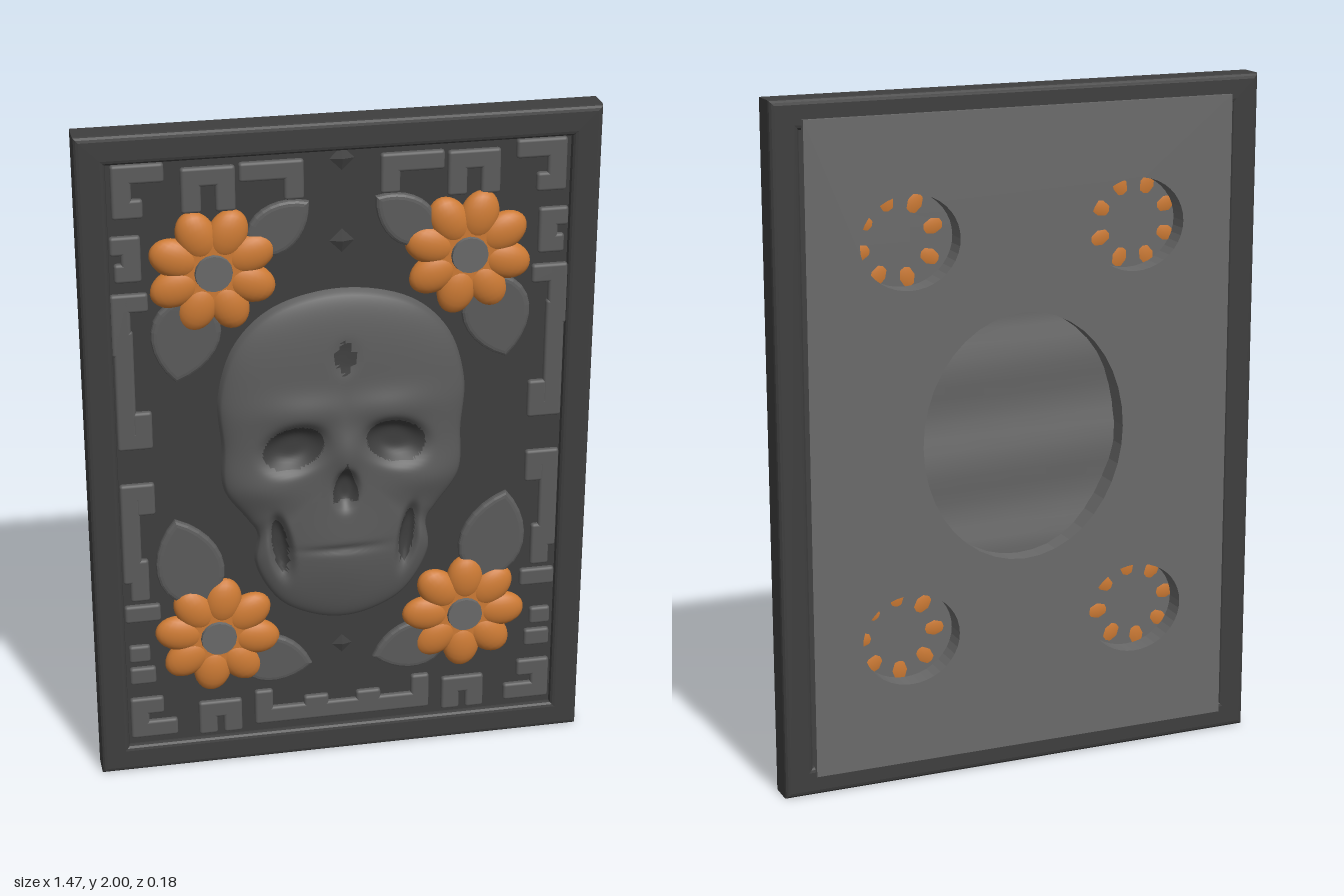
import * as THREE from 'three';
import { RoundedBoxGeometry } from 'three/addons/geometries/RoundedBoxGeometry.js';

const mat = (name, color, side = THREE.FrontSide) => {
  const m = new THREE.MeshStandardMaterial({ color, side });
  m.name = name;
  return m;
};
const charcoal = mat('charcoal', 0x3e3e3e);
const stone = mat('stone grey', 0x5b5b5b);
const orange = mat('orange', 0xcc7a34);
const centreGrey = mat('flower centre grey', 0x696969);
const backGrey = mat('back grey', 0x6a6a6a, THREE.DoubleSide);

function add(parent, name, geometry, material, x = 0, y = 0, z = 0) {
  const m = new THREE.Mesh(geometry, material);
  m.name = name;
  m.position.set(x, y, z);
  parent.add(m);
  return m;
}

function rect(target, x, y0, y1) {
  target.moveTo(-x, y0);
  target.lineTo(x, y0);
  target.lineTo(x, y1);
  target.lineTo(-x, y1);
  target.closePath();
  return target;
}

const FLOWERS = [[-0.365, 1.59], [0.36, 1.59], [-0.375, 0.435], [0.37, 0.435]];

// Flower: eight overlapping domed petals around a flat button
function flower(parent, x, y, i) {
  const g = new THREE.Group();
  g.name = 'flower' + (i + 1);
  g.position.set(x, y, 0);
  const petal = new THREE.SphereGeometry(1, 20, 14);
  for (let k = 0; k < 8; k++) {
    const a = (k + 0.5) * Math.PI / 4 + i * 0.12;
    const p = add(g, 'petal', petal, orange, Math.cos(a) * 0.112, Math.sin(a) * 0.112, 0.004);
    p.scale.set(0.075, 0.056, 0.034);
    p.rotation.z = a;
  }
  const disc = add(g, 'petalBase', new THREE.CylinderGeometry(0.09, 0.1, 0.03, 24), orange, 0, 0, 0.012);
  disc.rotation.x = Math.PI / 2;
  const button = add(g, 'flowerCentre', new THREE.CylinderGeometry(0.052, 0.058, 0.036, 16), centreGrey, 0, 0, 0.019);
  button.rotation.x = Math.PI / 2;
  parent.add(g);
}

// Leaf: pointed outline with a soft bevel, running from base to tip
function leaf(parent, x0, y0, x1, y1, width) {
  const dx = x1 - x0, dy = y1 - y0, L = Math.hypot(dx, dy), w = width / 2;
  const s = new THREE.Shape();
  s.moveTo(0, 0);
  s.bezierCurveTo(L * 0.2, w * 1.5, L * 0.75, w * 1.1, L, 0);
  s.bezierCurveTo(L * 0.75, -w * 1.1, L * 0.2, -w * 1.5, 0, 0);
  const geo = new THREE.ExtrudeGeometry(s, {
    depth: 0.008, bevelThickness: 0.01, bevelSize: 0.016, bevelOffset: -0.01, bevelSegments: 3, curveSegments: 10,
  });
  add(parent, 'leaf', geo, stone, x0, y0, 0).rotation.z = Math.atan2(dy, dx);
}

// Skull relief: rings shrinking from an outline, heights set by a rule
function skullGeometry() {
  const half = [[0.2, 1.465], [0.31, 1.36], [0.36, 1.2], [0.352, 1.05], [0.348, 0.91], [0.28, 0.805],
    [0.253, 0.76], [0.26, 0.66], [0.19, 0.53], [0.1, 0.475]];
  const loop = [[0, 1.51], ...half, [0, 0.455], ...half.map(([x, y]) => [-x, y]).reverse()];
  const outline = new THREE.CatmullRomCurve3(loop.map(([x, y]) => new THREE.Vector3(x, y, 0)), true)
    .getPoints(180).slice(0, 180);
  const RINGS = 60, SEG = 180, CY = 0.98;
  const ell = (x, y, cx, cy, rx, ry) => ((x - cx) / rx) ** 2 + ((y - cy) / ry) ** 2;
  const bump = (...a) => Math.exp(-ell(...a));
  const pit = (...a) => Math.exp(-(ell(...a) ** 2));
  const eye = (x, y) => ell(Math.abs(x), y + Math.abs(x) * 0.15, 0.15, 1.065, 0.088, 0.066);
  const inNose = (x, y) => y > 0.865 && y < 1.0 && Math.abs(x) < 0.037 * (1.0 - y) / 0.1 && Math.abs(x) < 0.037;
  const gapX = (y) => 0.18 + (y - 0.65) * 0.12;
  const inGap = (x, y) => ell(Math.abs(x), y, gapX(y), 0.725, 0.022, 0.085) < 1;
  const inDiamond = (x, y) => Math.abs(x) / 0.037 + Math.abs(y - 1.315) / 0.057 < 1;
  const height = (x, y, t) => {
    const ax = Math.abs(x);
    let h = 0.066;
    h += 0.016 * bump(ax, y, 0.12, 1.16, 0.14, 0.05);   // brow
    h += 0.014 * bump(ax, y, 0.24, 0.92, 0.09, 0.06);   // cheekbone
    h += 0.022 * bump(x, y, 0, 1.03, 0.05, 0.08);       // nose bridge
    h += 0.014 * bump(x, y, 0, 0.68, 0.13, 0.14);       // jaw
    h -= 0.01 * bump(x, y, 0, 0.715, 0.12, 0.012);      // mouth line
    h -= 0.045 * Math.exp(-(eye(x, y) ** 2));
    h -= 0.03 * pit(x, y, 0, 0.905, 0.035, 0.06);
    h -= 0.05 * pit(ax, y, gapX(y), 0.725, 0.028, 0.095);
    h -= 0.006 * pit(x, y, 0, 1.315, 0.035, 0.05);
    return Math.max(0.004, h) * Math.sqrt(1 - t ** 3.2) - (t === 1 ? 0.004 : 0);
  };
  const pos = [], light = [], dark = [];
  for (let r = 0; r <= RINGS; r++) {
    const t = r / RINGS;
    for (const p of outline) {
      const x = p.x * t, y = CY + (p.y - CY) * t;
      pos.push(x, y, height(x, y, t));
    }
  }
  const face = (a, b, c) => {
    const x = (pos[a * 3] + pos[b * 3] + pos[c * 3]) / 3;
    const y = (pos[a * 3 + 1] + pos[b * 3 + 1] + pos[c * 3 + 1]) / 3;
    const hollow = eye(x, y) < 1 || inNose(x, y) || inGap(x, y) || inDiamond(x, y);
    (hollow ? dark : light).push(a, b, c);
  };
  // the outline runs clockwise seen from the front
  for (let r = 0; r < RINGS; r++) for (let s = 0; s < SEG; s++) {
    const n = (s + 1) % SEG, a = r * SEG + s, b = r * SEG + n, c = a + SEG, d = b + SEG;
    if (r > 0) face(a, b, d);
    face(a, d, c);
  }
  const g = new THREE.BufferGeometry();
  g.setAttribute('position', new THREE.Float32BufferAttribute(pos, 3));
  g.setIndex([...light, ...dark]);
  g.addGroup(0, light.length, 0);
  g.addGroup(light.length, dark.length, 1);
  g.computeVertexNormals();
  return g;
}

export function createModel() {
  const model = new THREE.Group();
  model.name = 'skullPlaque';

  // Frame with softened edges, and the front field
  const frame = rect(new THREE.Shape(), 0.72, 0.015, 1.985);
  frame.holes.push(rect(new THREE.Path(), 0.665, 0.07, 1.93));
  add(model, 'frame', new THREE.ExtrudeGeometry(frame, {
    depth: 0.07, bevelThickness: 0.014, bevelSize: 0.015, bevelSegments: 3,
  }), charcoal, 0, 0, -0.064);
  add(model, 'frontField', new THREE.BoxGeometry(1.36, 1.9, 0.014), charcoal, 0, 1, -0.007);

  // Back plate with an oval opening and four round ones
  const back = rect(new THREE.Shape(), 0.645, 0.06, 1.945);
  const opening = (x, y, rx, ry) => {
    const p = new THREE.Path();
    p.absellipse(x, y, rx, ry, 0, Math.PI * 2, true);
    back.holes.push(p);
  };
  opening(0, 1.0, 0.31, 0.365);
  FLOWERS.forEach(([x, y]) => opening(x * 0.95, y, 0.148, 0.135));
  add(model, 'backPlate', new THREE.ExtrudeGeometry(back, { depth: 0.068, bevelEnabled: false, curveSegments: 20 }),
    backGrey, 0, 0, -0.09);

  // Recess lining, rippled behind the oval
  const lining = new THREE.PlaneGeometry(1.28, 1.86, 8, 48);
  const lp = lining.attributes.position;
  for (let i = 0; i < lp.count; i++) {
    const y = lp.getY(i);
    lp.setZ(i, Math.abs(y) < 0.37 ? 0.008 * Math.sin(y * 22 + lp.getX(i)) : 0);
  }
  lining.computeVertexNormals();
  add(model, 'recessLining', lining, backGrey, 0, 1, -0.027);

  // Fretwork: rounded bars along paths, mirrored on both sides
  const W = 0.056;
  const bars = [
    [[-0.61, 1.79], [-0.61, 1.885], [-0.52, 1.885]], [[-0.61, 1.785], [-0.58, 1.785]],
    [[-0.42, 1.79], [-0.42, 1.865], [-0.325, 1.865], [-0.325, 1.79]],
    [[-0.26, 1.87], [-0.135, 1.87], [-0.135, 1.81]],
    [[-0.62, 1.68], [-0.59, 1.68], [-0.59, 1.6], [-0.61, 1.6]],
    [[-0.575, 1.51], [-0.625, 1.51], [-0.625, 1.38]],
    [[-0.62, 1.4], [-0.62, 1.09], [-0.575, 1.09], [-0.575, 1.15]],
    [[-0.575, 0.88], [-0.575, 0.925], [-0.62, 0.925], [-0.62, 0.66]],
    [[-0.6, 0.68], [-0.6, 0.6]], [[-0.62, 0.53], [-0.57, 0.53]],
    [[-0.612, 0.395], [-0.605, 0.395]], [[-0.612, 0.32], [-0.59, 0.32]],
    [[-0.57, 0.215], [-0.615, 0.215], [-0.615, 0.135], [-0.53, 0.135]],
    [[-0.41, 0.125], [-0.41, 0.18], [-0.335, 0.18], [-0.335, 0.125]],
    [[-0.24, 0.2], [-0.24, 0.14], [0, 0.14]], [[-0.09, 0.15], [-0.07, 0.165]],
  ];
  const fret = new THREE.Group();
  fret.name = 'fretwork';
  model.add(fret);
  for (const side of [1, -1]) for (const path of bars) for (let i = 1; i < path.length; i++) {
    const [x0, y0] = path[i - 1], [x1, y1] = path[i];
    const w = Math.abs(x1 - x0) + W, h = Math.abs(y1 - y0) + W;
    add(fret, 'fretBar', new RoundedBoxGeometry(w, h, 0.026, 2, 0.009), stone,
      side * (x0 + x1) / 2, (y0 + y1) / 2, 0.001);
  }

  // Leaves and flowers
  for (const s of [1, -1]) {
    leaf(model, s * 0.26, 1.64, s * 0.1, 1.77, 0.13);
    leaf(model, s * 0.42, 1.52, s * 0.475, 1.27, 0.19);
    leaf(model, s * 0.42, 0.54, s * 0.49, 0.82, 0.19);
    leaf(model, s * 0.32, 0.36, s * 0.1, 0.31, 0.15);
  }
  FLOWERS.forEach(([x, y], i) => flower(model, x, y, i));

  // Small studs on the centre line
  for (const [y, r] of [[1.89, 0.035], [1.65, 0.035], [0.36, 0.03]]) {
    add(model, 'diamondStud', new THREE.OctahedronGeometry(r), charcoal, 0, y, 0).scale.z = 0.3;
  }

  add(model, 'skull', skullGeometry(), [stone, charcoal]);
  return model;
}
